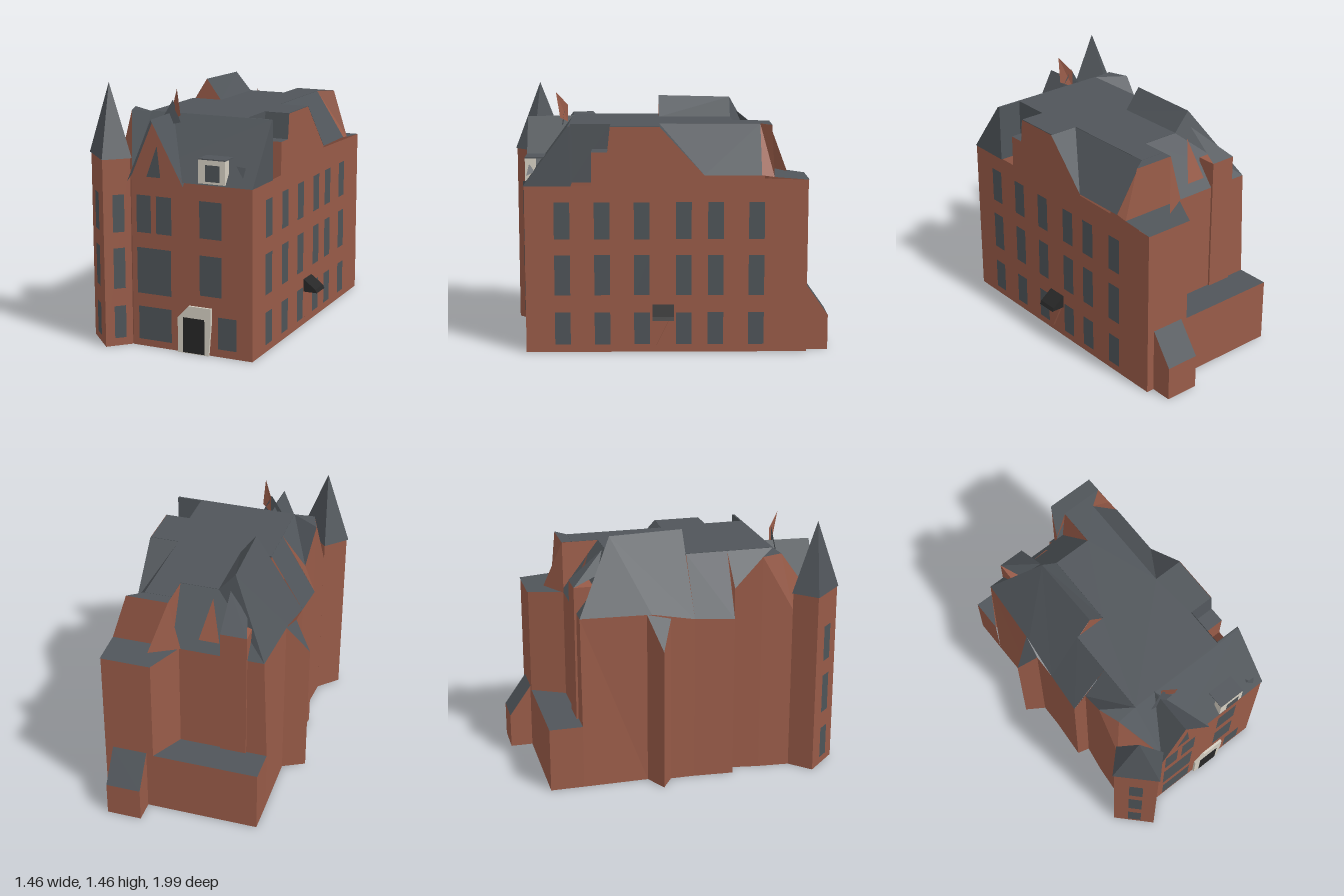
import * as THREE from 'three';

const mat = (name, color, double) => {
  const m = new THREE.MeshStandardMaterial({ color });
  m.name = name;
  if (double) m.side = THREE.DoubleSide;
  return m;
};

export function createModel() {
  const brick = mat('brick', 0x985b48, true);
  const slate = mat('slate', 0x50555a, true);
  const glass = mat('glass', 0x4e5458);
  const stone = mat('stone', 0xd4cec1);
  const black = mat('black', 0x272727);

  const root = new THREE.Group();
  root.name = 'townhouse';
  const house = new THREE.Group(); // the house stands at an angle on its plot
  house.name = 'house';
  house.rotation.y = 0.41;
  root.add(house);

  const add = (name, geo, m) => {
    const mesh = new THREE.Mesh(geo, m);
    mesh.name = name;
    house.add(mesh);
    return mesh;
  };
  // Upright prism over a ground plan of [x, z] points
  const prism = (name, m, plan, y0, y1) => {
    const s = new THREE.Shape(plan.map(([x, z]) => new THREE.Vector2(x, -z)));
    const g = new THREE.ExtrudeGeometry(s, { depth: y1 - y0, bevelEnabled: false });
    g.rotateX(-Math.PI / 2).translate(0, y0, 0);
    return add(name, g, m);
  };
  // Flat face fanned from its first corner, corners are [x, z, y]
  const face = (name, m, ...pts) => {
    const a = [];
    for (let i = 1; i < pts.length - 1; i++)
      for (const [x, z, y] of [pts[0], pts[i], pts[i + 1]]) a.push(x, y, z);
    const g = new THREE.BufferGeometry();
    g.setAttribute('position', new THREE.Float32BufferAttribute(a, 3));
    g.computeVertexNormals();
    return add(name, g, m);
  };
  // Open shell of walls along [x, z, top, lean] points
  const walls = (name, y0, ...path) => {
    for (let i = 0; i < path.length - 1; i++) {
      const [ax, az, ay, al = 0] = path[i], [bx, bz, by, bl = 0] = path[i + 1];
      face(name, brick, [ax, az, y0], [bx, bz, y0], [bx + bl, bz, by], [ax + al, az, ay]);
    }
  };
  // Thin pane just outside a wall line from a (left) to b (right, seen from outside)
  const pane = (name, m, a, b, y0, y1) => {
    const dx = b[0] - a[0], dz = b[1] - a[1];
    const mesh = add(name, new THREE.PlaneGeometry(Math.hypot(dx, dz), y1 - y0), m);
    mesh.position.set((a[0] + b[0]) / 2, (y0 + y1) / 2, (a[1] + b[1]) / 2);
    mesh.rotation.y = -Math.atan2(dz, dx);
    mesh.translateZ(0.004);
  };
  const box = (name, m, x0, x1, y0, y1, z0, z1) =>
    add(name, new THREE.BoxGeometry(x1 - x0, y1 - y0, z1 - z0), m).position.set((x0 + x1) / 2, (y0 + y1) / 2, (z0 + z1) / 2);
  const shape = (pts) => new THREE.Shape(pts.map(([x, y]) => new THREE.Vector2(x, y)));

  // Walls, open underneath, with a pointed bay on the left
  const bay = [[-0.471, -0.096, 0.975], [-0.573, -0.162, 0.82], [-0.447, -0.227, 1.0]];
  walls('mainWall', 0, [0.16, -0.79, 0.985], [0.445, -0.79, 0.985], [0.445, -0.21, 1.0], [0.445, -0.2, 0.955],
    [0.445, 0.794, 0.955], [-0.28, 0.794, 0.955], [-0.456, 0.62, 0.96], [-0.442, 0.44, 1.28],
    [-0.419, 0.287, 1.1], [-0.487, 0.268, 0.945], [-0.472, 0.04, 0.96], ...bay, [-0.45, -0.6, 1.0, 0.025]);
  face('bayRoof', slate, ...bay);
  walls('upperBackWall', 0.36, [-0.45, -0.6, 1.0, 0.025], [0.06, -0.6, 1.0], [0.16, -0.79, 0.985]);
  walls('lowBackWall', 0, [-0.45, -0.6, 0.37], [-0.45, -0.79, 0.37], [0.2, -0.79, 0.37]);
  face('lowBackRoof', slate, [-0.45, -0.6, 0.37], [-0.45, -0.79, 0.37], [0.2, -0.79, 0.37], [0.2, -0.6, 0.37]);
  face('rightGable', brick, [0.446, -0.21, 0.95], [0.446, 0.42, 0.95], [0.446, 0.42, 1.14], [0.446, 0.33, 1.14],
    [0.446, 0.315, 1.28], [0.446, 0.04, 1.28], [0.446, -0.21, 1.01]);

  // Lean-to at the back
  walls('leanToWall', 0, [0.2, -0.79, 0.38], [0.2, -0.917, 0.2], [0.4, -0.917, 0.2], [0.4, -0.79, 0.38]);
  face('leanToRoof', slate, [0.2, -0.917, 0.2], [0.4, -0.917, 0.2], [0.4, -0.79, 0.38], [0.2, -0.79, 0.38]);

  // Attic core and flat top
  const attic = [[0.12, -0.53], [0.275, -0.53], [0.275, 0.04], [0.443, 0.04], [0.443, 0.315], [0.3, 0.315],
    [0.3, 0.54], [0.443, 0.54], [0.443, 0.55], [-0.28, 0.55], [-0.28, 0.04], [-0.1, 0.04], [-0.1, -0.38], [0.12, -0.38]];
  prism('atticWalls', brick, attic, 0.95, 1.272);
  prism('flatRoof', slate, attic, 1.272, 1.282);

  // Main slopes
  face('frontSlope', slate, [0.447, 0.55, 1.282], [0.447, 0.8, 0.95], [-0.28, 0.8, 0.95], [-0.28, 0.55, 1.282]);
  face('frontSlopeCheek', slate, [0.447, 0.55, 1.282], [0.447, 0.8, 0.95], [0.447, 0.535, 0.95], [0.447, 0.535, 1.282]);
  face('frontSlopeBack', slate, [0.447, 0.535, 0.95], [0.447, 0.535, 1.28], [0.298, 0.535, 1.28], [0.298, 0.535, 0.95]);
  face('rightSlope', slate, [0.275, -0.53, 1.28], [0.275, 0.04, 1.28], [0.447, -0.21, 1.01], [0.447, -0.53, 1.01]);
  face('rightGableSlope', slate, [0.275, 0.04, 1.28], [0.447, 0.04, 1.28], [0.447, -0.21, 1.01]);
  face('rightStepSlope', slate, [0.447, 0.315, 1.28], [0.447, 0.33, 1.14], [0.3, 0.33, 1.14], [0.3, 0.315, 1.28]);
  face('rightStepTop', slate, [0.447, 0.33, 1.14], [0.447, 0.42, 1.14], [0.3, 0.42, 1.14], [0.3, 0.33, 1.14]);
  face('rightStepFront', brick, [0.445, 0.42, 1.14], [0.445, 0.42, 0.95], [0.3, 0.42, 0.95], [0.3, 0.42, 1.14]);
  face('rightStepSide', slate, [0.304, 0.315, 1.28], [0.304, 0.54, 1.28], [0.304, 0.54, 0.95], [0.304, 0.315, 0.95]);
  face('backTopWall', brick, [0.12, -0.6, 1], [0.445, -0.6, 1], [0.36, -0.59, 1.28], [0.12, -0.59, 1.28]);
  face('backTopCheek', brick, [0.445, -0.6, 1], [0.445, -0.53, 1.01], [0.275, -0.53, 1.28], [0.36, -0.59, 1.28]);
  face('backTopCap', slate, [0.36, -0.592, 1.281], [0.275, -0.53, 1.281], [0.12, -0.53, 1.281], [0.12, -0.592, 1.281]);
  face('backEaveRoof', slate, [0.445, -0.6, 1.0], [0.447, -0.795, 0.985], [0.16, -0.795, 0.985], [0.06, -0.6, 1.0]);
  face('backSideSlope', brick, [0.05, -0.6, 1], [0.21, -0.69, 1.0], [0.12, -0.59, 1.28]);
  face('backSideWall', brick, [0.1, -0.6, 1], [0.12, -0.59, 1.28], [0.12, -0.38, 1.28]);
  face('backHip', slate, [-0.425, -0.6, 1], [0.1, -0.6, 1], [0.12, -0.38, 1.28], [-0.1, -0.38, 1.28], [-0.195, -0.38, 1.39]);

  // Tall left wing roof
  const r0 = [-0.195, -0.38, 1.39], r1 = [-0.19, 0.04, 1.4];
  face('wingLeftSlope', slate, r0, r1, [-0.472, 0.04, 0.96], [-0.45, -0.2, 1.0], [-0.425, -0.6, 1.0]);
  face('wingRightSlope', slate, r0, r1, [-0.1, 0.04, 1.28], [-0.1, -0.38, 1.28]);
  face('wingGable', brick, [-0.472, 0.04, 0.95], r1, [-0.1, 0.04, 1.28], [-0.1, 0.04, 0.95]);
  face('frontLeftSlope', slate, [-0.28, 0.04, 1.28], [-0.28, 0.28, 1.28], [-0.487, 0.268, 0.945], [-0.472, 0.04, 0.96]);
  face('frontLeftGable', brick, [-0.28, 0.285, 1.28], [-0.487, 0.268, 0.945], [-0.419, 0.287, 1.1]);
  face('frontLeftTop', slate, [-0.28, 0.55, 1.28], [-0.28, 0.28, 1.28], [-0.419, 0.287, 1.1], [-0.442, 0.44, 1.28], [-0.4, 0.56, 1.28]);
  face('frontLeftHip', slate, [-0.4, 0.56, 1.28], [-0.28, 0.55, 1.28], [-0.275, 0.79, 0.98]);
  face('frontLeftEnd', brick, [-0.4, 0.56, 1.28], [-0.275, 0.79, 0.98], [-0.28, 0.794, 0.95], [-0.456, 0.62, 0.96], [-0.442, 0.44, 1.28]);

  // Narrow bay and small gable at the back
  prism('backBay', brick, [[-0.33, -0.612], [-0.18, -0.612], [-0.18, -0.5], [-0.33, -0.5]], 0.37, 1.15);
  face('backBayRoof', slate, [-0.33, -0.612, 1.15], [-0.18, -0.612, 1.15], [-0.18, -0.42, 1.31], [-0.29, -0.47, 1.2]);
  face('backDormer', brick, [-0.16, -0.56, 1.05], [-0.04, -0.56, 1.05], [-0.1, -0.48, 1.28]);

  // Corner tower
  const tower = [[-0.566, 0.73], [-0.395, 0.905], [-0.285, 0.794], [-0.456, 0.619]];
  walls('towerWall', 0, ...[...tower, tower[0]].map(([x, z]) => [x, z, 1.06]));
  const eave = tower.map(([x, z]) => [-0.427 + (x + 0.427) * 1.08, 0.762 + (z - 0.762) * 1.06, 1.058]);
  eave.forEach((p, i) => face('towerRoof', slate, p, eave[(i + 1) % 4], [-0.427, 0.762, 1.46]));

  // Front gable
  face('frontGable', brick, [-0.28, 0.8, 0.95], [0.036, 0.8, 0.95], [-0.145, 0.8, 1.26]);
  for (const x of [-0.295, 0.045])
    face('frontGableRoof', slate, [x, 0.815, 0.93], [-0.145, 0.815, 1.28], [-0.145, 0.54, 1.285], [x, 0.78, 0.97]);
  face('gableWindow', glass, [-0.18, 0.805, 0.965], [-0.095, 0.805, 0.965], [-0.115, 0.805, 1.14]);

  // Pointed brick fin on the roof
  face('roofFin', brick, [-0.126, 0.578, 1.25], [-0.126, 0.578, 1.35], [-0.073, 0.644, 1.43], [-0.065, 0.62, 1.28]);
  face('roofFinSlope', slate, [-0.22, 0.6, 1.2], [-0.126, 0.59, 1.36], [-0.07, 0.61, 1.24]);

  // Front windows: x from, x to, y from, y to
  for (const [x0, x1, y0, y1] of [
    [-0.248, -0.16, 0.65, 0.86], [-0.128, -0.035, 0.65, 0.86], [0.134, 0.265, 0.655, 0.86],
    [-0.248, -0.04, 0.305, 0.565], [0.134, 0.265, 0.335, 0.56],
    [-0.242, -0.04, 0.04, 0.23], [0.243, 0.352, 0.045, 0.225],
  ]) pane('frontWindow', glass, [x0, 0.794], [x1, 0.794], y0, y1);

  // Right wall and tower windows, three storeys
  const along = (a, b, t) => [a[0] + (b[0] - a[0]) * t, a[1] + (b[1] - a[1]) * t];
  for (const [y0, y1] of [[0.65, 0.86], [0.33, 0.56], [0.045, 0.23]]) {
    for (const z of [0.587, 0.363, 0.14, -0.095, -0.275, -0.504])
      pane('rightWindow', glass, [0.445, z + 0.044], [0.445, z - 0.044], y0, y1);
    pane('towerWindow', glass, along(tower[0], tower[1], 0.35), along(tower[0], tower[1], 0.67), y0, y1);
    pane('towerSideWindow', glass, along(tower[1], tower[2], 0.33), along(tower[1], tower[2], 0.75), y0, y1);
  }

  // Front door in its stone surround
  const arch = shape([[0.004, 0], [0.19, 0], [0.205, 0.18], [0.205, 0.27], [0.07, 0.27], [0.004, 0.2]]);
  add('doorSurround', new THREE.ExtrudeGeometry(arch, { depth: 0.014, bevelEnabled: false }), stone).position.z = 0.796;
  pane('frontDoor', black, [0.038, 0.81], [0.168, 0.81], 0.005, 0.205);

  // Stone dormer with a slate lid, and a small roof vent
  box('stoneDormer', stone, 0.13, 0.288, 0.957, 1.086, 0.75, 0.8);
  box('dormerLid', slate, 0.13, 0.288, 1.086, 1.092, 0.69, 0.8);
  pane('dormerWindow', glass, [0.172, 0.8], [0.258, 0.8], 0.97, 1.06);
  face('roofVent', slate, [0.34, 0.77, 1.06], [0.395, 0.77, 1.055], [0.385, 0.785, 1.0]);
  face('roofVent', slate, [0.34, 0.77, 1.06], [0.385, 0.785, 1.0], [0.36, 0.74, 1.02]);

  // Side entrance canopy with brace
  const canopy = shape([[0.446, 0.2], [0.53, 0.2], [0.52, 0.22], [0.446, 0.275]]);
  add('sideCanopy', new THREE.ExtrudeGeometry(canopy, { depth: 0.12, bevelEnabled: false }), black).position.z = -0.04;
  const brace = add('canopyBrace', new THREE.BoxGeometry(0.012, 0.18, 0.01), brick);
  brace.position.set(0.453, 0.12, 0.015);
  brace.rotation.x = -0.45;

  return root;
}
